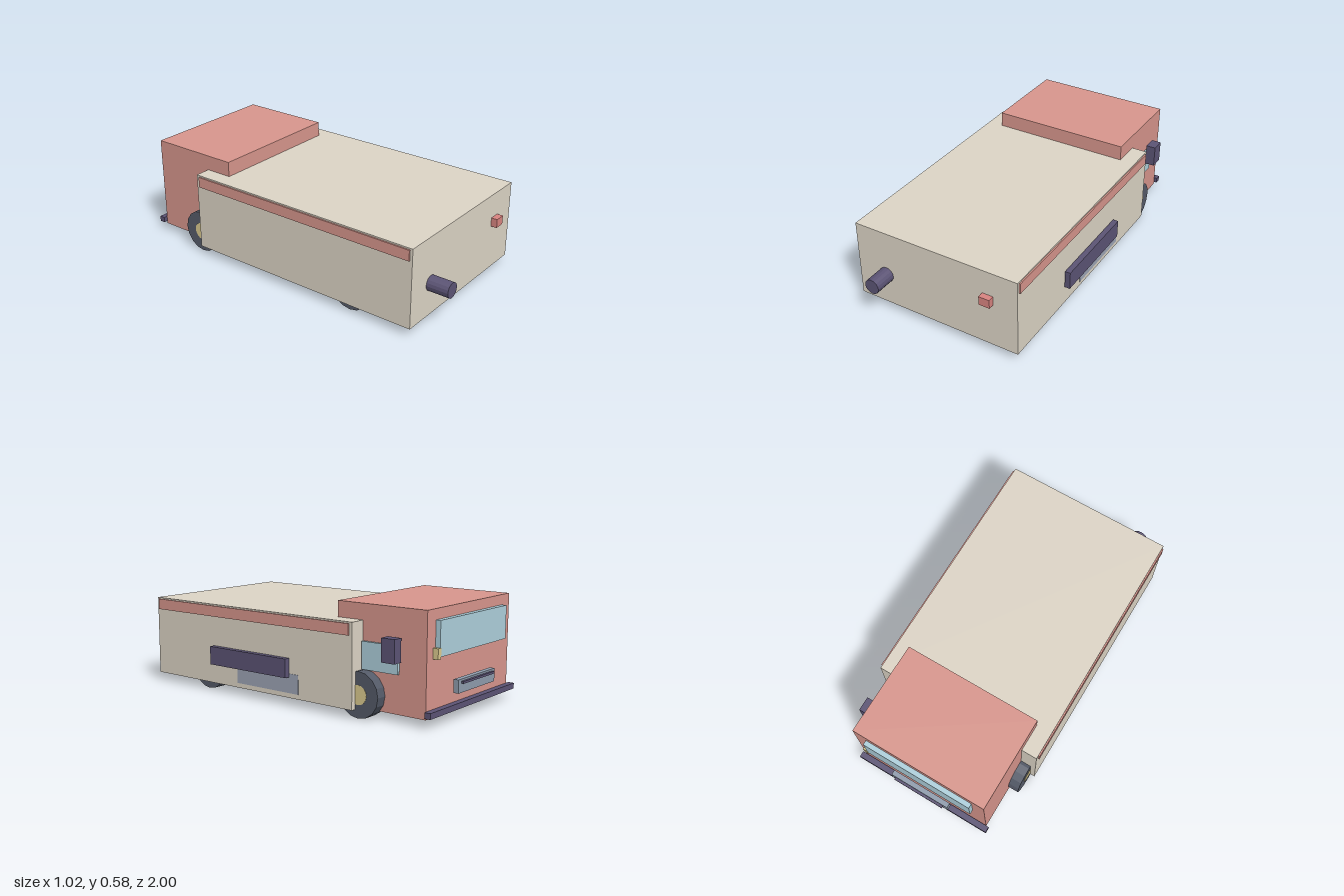
import * as THREE from 'three';

const COLORS = {
  body: 0xddd5c6, cab: 0xd8968d, dark: 0x5c5475, glass: 0xaed0dc, tyre: 0x555b69,
  hub: 0xdccb90, lamp: 0xd88480, panel: 0x9ea5b5, grille: 0x8f9cad,
};
const materials = {};
for (const key in COLORS) {
  materials[key] = new THREE.MeshStandardMaterial({ color: COLORS[key], flatShading: true });
}

// Box given by its extents along x, y and z
function box(name, color, [x0, x1], [y0, y1], [z0, z1]) {
  const mesh = new THREE.Mesh(new THREE.BoxGeometry(x1 - x0, y1 - y0, z1 - z0), materials[color]);
  mesh.position.set((x0 + x1) / 2, (y0 + y1) / 2, (z0 + z1) / 2);
  mesh.name = name;
  return mesh;
}

// Wheel with its axle along x: tyre and a slightly wider hub
function wheel(name, x, z) {
  const group = new THREE.Group();
  group.name = name;
  for (const [part, color, r, w] of [['tyre', 'tyre', 0.122, 0.08], ['hub', 'hub', 0.052, 0.084]]) {
    const mesh = new THREE.Mesh(new THREE.CylinderGeometry(r, r, w, 16).rotateZ(Math.PI / 2), materials[color]);
    mesh.name = part;
    group.add(mesh);
  }
  group.position.set(x, 0.124, z);
  return group;
}

export function createModel() {
  const model = new THREE.Group();
  model.name = 'camperVan';
  const cx = -0.015; // centre line of the vehicle

  // Long living compartment and the taller cab behind it
  model.add(box('body', 'body', [-0.505, 0.475], [0.047, 0.495], [-0.56, 0.875]));
  model.add(box('cab', 'cab', [-0.415, 0.385], [0.043, 0.58], [-0.94, -0.4]));

  // Stripes and wheels on both sides
  for (const s of [-1, 1]) {
    const side = s > 0 ? 'left' : 'right';
    const x = cx + s * 0.493;
    model.add(box(side + 'Stripe', 'cab', [x - 0.005, x + 0.005], [0.427, 0.487], [-0.54, 0.86]));
    model.add(wheel(side + 'CabWheel', cx + s * 0.421, -0.577));
    model.add(wheel(side + 'BodyWheel', cx + s * 0.421, 0.484));
  }

  // Rolled awning, lower hatch, side window and mirror on one side only
  model.add(box('awning', 'dark', [0.479, 0.51], [0.16, 0.262], [-0.148, 0.41]));
  model.add(box('hatch', 'panel', [0.468, 0.477], [0.073, 0.178], [-0.208, 0.232]));
  model.add(box('sideWindow', 'glass', [0.392, 0.406], [0.248, 0.392], [-0.787, -0.567]));
  model.add(box('mirror', 'dark', [0.405, 0.46], [0.312, 0.434], [-0.805, -0.725]));

  // Cab face: windscreen, lamp, grille with slot, bumper
  model.add(box('windscreen', 'glass', [-0.34, 0.31], [0.345, 0.525], [-0.967, -0.94]));
  model.add(box('cabLamp', 'hub', [0.305, 0.332], [0.335, 0.39], [-0.97, -0.94]));
  model.add(box('grille', 'grille', [-0.197, 0.163], [0.14, 0.21], [-0.986, -0.957]));
  model.add(box('grilleSlot', 'dark', [-0.171, 0.138], [0.188, 0.2], [-1.0, -0.984]));
  model.add(box('bumper', 'dark', [-0.435, 0.402], [0.055, 0.086], [-0.977, -0.943]));

  // Exhaust pipe and small lamp on the opposite end
  const pipe = new THREE.Mesh(
    new THREE.CylinderGeometry(0.043, 0.043, 0.14, 16).rotateX(Math.PI / 2), materials.dark);
  pipe.position.set(-0.327, 0.232, 0.93);
  pipe.name = 'exhaustPipe';
  model.add(pipe);
  model.add(box('tailLamp', 'lamp', [0.272, 0.335], [0.307, 0.357], [0.87, 0.91]));

  return model;
}
